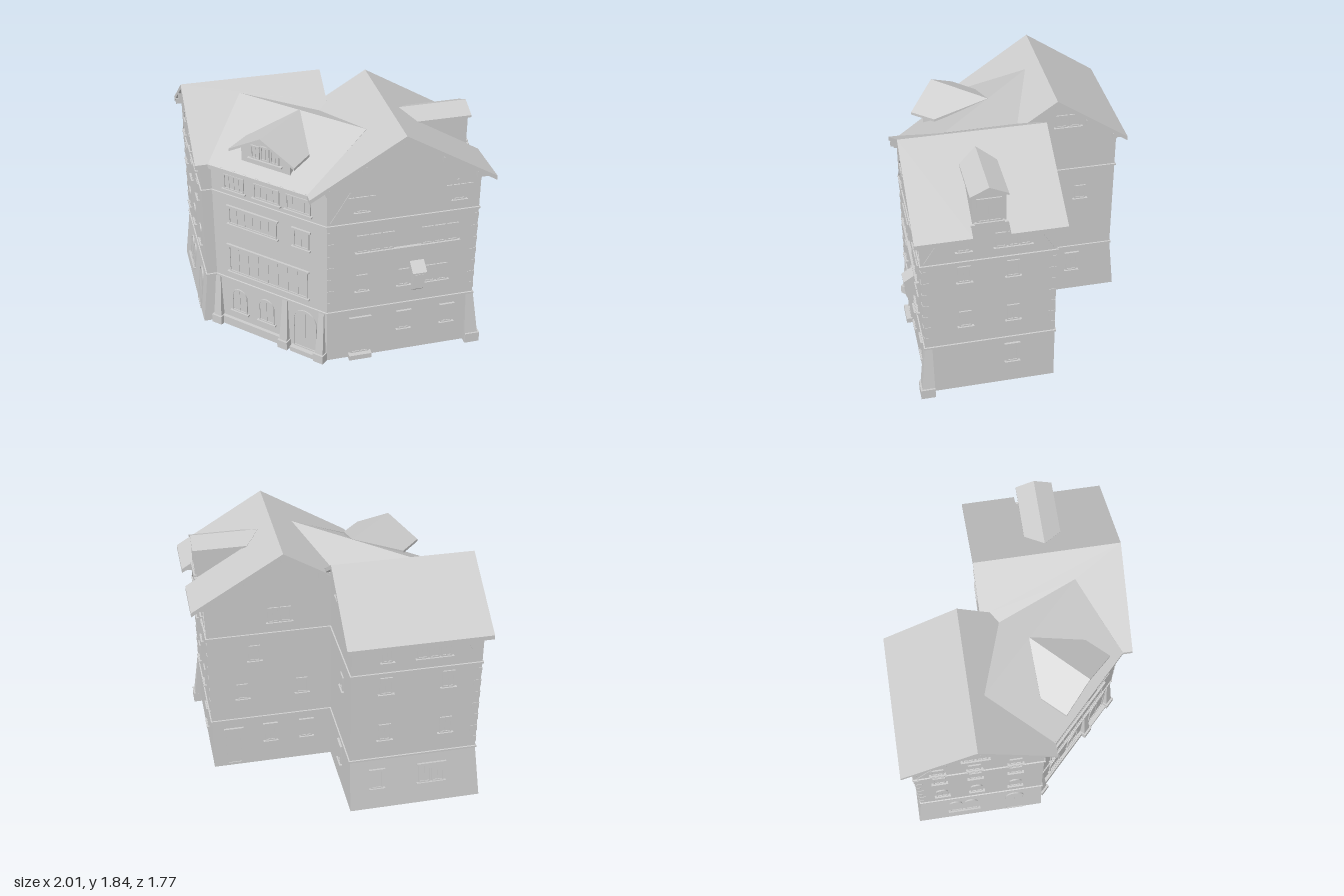
import * as THREE from 'three';

const mat = new THREE.MeshStandardMaterial({ color: 0xcccccc, side: THREE.DoubleSide, flatShading: true });

function add(parent, name, geo, x = 0, y = 0, z = 0) {
  const m = new THREE.Mesh(geo, mat);
  m.name = name;
  m.position.set(x, y, z);
  parent.add(m);
  return m;
}
const box = (p, name, w, h, d, x, y, z) => add(p, name, new THREE.BoxGeometry(w, h, d), x, y, z);
const shapeOf = pts => new THREE.Shape(pts.map(p => new THREE.Vector2(p[0], p[1])));
const extrude = (shape, depth) => new THREE.ExtrudeGeometry(shape, { depth, bevelEnabled: false, curveSegments: 8 });

// Height function of the plane through three points [x, y, z]
function plane(a, b, c) {
  const pl = new THREE.Plane().setFromCoplanarPoints(...[a, b, c].map(p => new THREE.Vector3(...p)));
  return (x, z) => -(pl.normal.x * x + pl.normal.z * z + pl.constant) / pl.normal.y;
}

// Roof slab: plan outline [x, z] draped on a sloping plane
function slab(parent, name, plan, height, t = 0.032) {
  const geo = extrude(shapeOf(plan.map(([x, z]) => [x, -z])), t).rotateX(-Math.PI / 2);
  const p = geo.attributes.position;
  for (let i = 0; i < p.count; i++) p.setY(i, p.getY(i) - t + height(p.getX(i), p.getZ(i)));
  geo.computeVertexNormals();
  add(parent, name, geo);
}

// Footprint moved outwards by d with mitred corners
function offset(P, d) {
  const normal = (a, b) => new THREE.Vector2(a[1] - b[1], b[0] - a[0]).normalize();
  return P.map((p, i) => {
    const n = normal(P[(i + P.length - 1) % P.length], p), m = normal(p, P[(i + 1) % P.length]);
    const k = d / (1 + n.dot(m));
    return [p[0] + (n.x + m.x) * k, p[1] + (n.y + m.y) * k];
  });
}

// Wall skin through a stack of footprint loops [outline, y]
function loft(parent, name, loops) {
  const v = [];
  for (let k = 0; k + 1 < loops.length; k++) {
    const [A, y0] = loops[k], [B, y1] = loops[k + 1];
    A.forEach((a, i) => {
      const j = (i + 1) % A.length, b = A[j], c = B[j], d = B[i];
      v.push(a[0], y0, a[1], b[0], y0, b[1], c[0], y1, c[1], a[0], y0, a[1], c[0], y1, c[1], d[0], y1, d[1]);
    });
  }
  const geo = new THREE.BufferGeometry();
  geo.setAttribute('position', new THREE.Float32BufferAttribute(v, 3));
  geo.computeVertexNormals();
  add(parent, name, geo);
}

// Opening outline, square or round-headed
function opening(w, h, arched) {
  const s = new THREE.Shape();
  s.moveTo(-w / 2, 0);
  s.lineTo(w / 2, 0);
  if (arched) { s.lineTo(w / 2, h - w / 2); s.absarc(0, h - w / 2, w / 2, 0, Math.PI, false); }
  else { s.lineTo(w / 2, h); s.lineTo(-w / 2, h); }
  s.closePath();
  return s;
}

// Framed window between u0..u1 and y0..y1 on a facade
function win(f, u0, u1, y0, y1, { arched = false, sill = true, lintel = false, bars = 1, name = 'window' } = {}) {
  const w = u1 - u0, h = y1 - y0, b = 0.01;
  const g = new THREE.Group();
  g.name = name;
  g.position.set((u0 + u1) / 2, y0, 0);
  f.add(g);
  const frame = opening(w, h, arched);
  const hole = opening(w - 2 * b, h - 2 * b, arched);
  frame.holes.push(new THREE.Path(hole.getPoints(8).map(p => p.add(new THREE.Vector2(0, b)))));
  add(g, 'frame', extrude(frame, 0.012), 0, 0, -0.002);
  add(g, 'pane', new THREE.ShapeGeometry(hole, 8), 0, b, 0.003);
  for (let i = 1; i <= bars; i++) box(g, 'mullion', 0.007, h - b, 0.008, -w / 2 + w * i / (bars + 1), h / 2, 0.003);
  if (sill) box(g, 'sill', w + 0.03, 0.012, 0.025, 0, -0.006, 0.009);
  if (lintel) box(g, 'lintel', w + 0.03, 0.014, 0.02, 0, h + 0.007, 0.007);
}

// Sloped buttress with a plinth block
function buttress(f, u, w = 0.07) {
  const geo = new THREE.BoxGeometry(w, 0.43, 0.07), p = geo.attributes.position;
  for (let i = 0; i < p.count; i++) if (p.getY(i) > 0) { p.setZ(i, Math.min(p.getZ(i), -0.01)); p.setX(i, p.getX(i) * 0.6); }
  add(f, 'buttress', geo, u, 0.215, 0.015);
  box(f, 'buttressFoot', w + 0.015, 0.07, 0.08, u, 0.035, 0.018);
}

export function createModel() {
  const model = new THREE.Group();
  model.name = 'house';

  // Walls, battered ground storey and string courses
  const P = [[-0.955, -0.81], [-0.955, 0.12], [-0.88, 0.12], [-0.2, 0.8], [0.9, 0.8], [0.9, -0.14], [-0.015, -0.14], [-0.015, -0.81]];
  const base = P.map(p => [...p]);
  base[0] = [-1, -0.855]; base[1][0] = -1; base[7][1] = -0.855;
  loft(model, 'walls', [[base, 0], [P, 0.43], [P, 1.46]]);
  for (const y of [0.43, 1.17]) {
    const O = offset(P, 0.009);
    loft(model, 'stringCourse', [[P, y - 0.009], [O, y - 0.007], [O, y + 0.007], [P, y + 0.009]]);
  }

  // Main roofs
  const roofs = new THREE.Group();
  roofs.name = 'roofs';
  model.add(roofs);
  const aFront = (x, z) => 1.8 - 0.68 * (z + 0.345), aBack = (x, z) => 1.8 + 0.68 * (z + 0.345);
  const bWest = x => 1.835 - 0.6 * (0.335 - x), bEast = x => 1.835 - 0.6 * (x - 0.335);
  const R0 = [-0.59, -0.245], R1 = [0.155, 0.5], V = [-0.04, -0.065], E0 = [-0.91, 0.2], E1 = [-0.33, 0.775];
  const r0 = [R0[0], 1.732, R0[1]], r1 = [R1[0], 1.73, R1[1]];
  const dFront = plane(r0, r1, [E0[0], 1.43, E0[1]]), dBack = plane(r0, r1, [V[0], 1.61, V[1]]);
  slab(roofs, 'rearWingRoofFront', [[-1, -0.345], [-1, 0.2], E0, R0, V, [0.03, -0.12], [0.03, -0.345]], aFront);
  slab(roofs, 'rearWingRoofBack', [[-1, -0.345], [0.03, -0.345], [0.03, -0.885], [-1, -0.885]], aBack);
  slab(roofs, 'cornerRoofFront', [E0, E1, R1, R0], dFront);
  slab(roofs, 'cornerRoofBack', [R0, R1, V], dBack);
  slab(roofs, 'frontWingRoofRight', [[0.335, 0.845], [-0.33, 0.845], E1, R1, V, [0.03, -0.12], [0.03, -0.19], [0.335, -0.19]], bWest);
  slab(roofs, 'frontWingRoofLeft', [[0.335, -0.19], [1, -0.19], [1, 0.2], [0.93, 0.2], [0.93, 0.455], [1, 0.455], [1, 0.845], [0.335, 0.845]], bEast);

  // Facades: local x runs along the wall, local z points outwards
  const facade = (name, x, z, turn) => {
    const g = new THREE.Group();
    g.name = name;
    g.position.set(x, 0, z);
    g.rotation.y = turn * Math.PI / 4;
    model.add(g);
    return g;
  };
  const front = facade('frontFacade', 0, 0.8, 0), left = facade('leftFacade', 0.9, 0, 2);
  const right = facade('rightFacade', -0.955, 0, -2), corner = facade('cornerFacade', 0, 1, -1);
  const back = facade('rearWingBack', 0, -0.81, 4), inner = facade('frontWingBack', 0, -0.14, 4);
  const side = facade('rearWingSide', -0.015, 0, 2);

  // Gables with projecting purlin ends
  const gable = (f, u0, u1, um, top, slope) => {
    const e = u => top - 0.03 - slope * Math.abs(u - um);
    add(f, 'gable', extrude(shapeOf([[u0, 1.45], [u1, 1.45], [u1, e(u1)], [um, top - 0.03], [u0, e(u0)]]), 0.01), 0, 0, -0.01);
    for (const s of [-0.95, -0.5, 0, 0.5, 0.95]) {
      const u = um + s * (u1 - um);
      box(f, 'purlinEnd', 0.028, 0.045, 0.05, u, e(u) - 0.02, 0.02);
    }
  };
  gable(front, -0.2, 0.9, 0.335, 1.835, 0.6);
  gable(inner, -0.9, 0.2, -0.335, 1.835, 0.6);
  gable(right, -0.81, 0.12, -0.345, 1.8, 0.68);
  gable(side, -0.12, 0.81, 0.345, 1.8, 0.68);

  // Rafter tails
  const rafters = (f, u0, u1, n, d) => {
    for (let i = 0; i < n; i++) box(f, 'rafterTail', 0.025, 0.03, d, u0 + (u1 - u0) * i / (n - 1), 1.42, d / 2);
  };
  rafters(back, 0.03, 0.94, 10, 0.06);
  rafters(corner, -1.2, -0.4, 9, 0.07);
  rafters(left, -0.77, -0.5, 4, 0.08);
  rafters(left, -0.17, 0.12, 4, 0.08);

  // Front openings
  for (const u of [0, 0.7]) {
    win(front, u, u + 0.09, 1.265, 1.385);
    for (const s of [-0.03, 0.12]) box(front, 'shutter', 0.04, 0.12, 0.01, u + s, 1.325, 0.004);
  }
  for (const u of [0.015, 0.485]) for (let i = 0; i < 3; i++) win(front, u + i * 0.093, u + i * 0.093 + 0.083, 0.93, 1.07, { sill: false });
  box(front, 'longSill', 0.77, 0.014, 0.028, 0.385, 0.923, 0.01);
  for (const u of [0.015, 0.325, 0.52, 0.61]) win(front, u, u + 0.08, 0.595, 0.735);
  for (const u of [0.335, 0.665]) win(front, u, u + 0.085, 0.2, 0.35, { lintel: true });
  win(front, -0.02, 0.115, 0.04, 0.35, { lintel: true, sill: false, name: 'door' });
  box(front, 'doorStep', 0.17, 0.04, 0.05, 0.045, 0.02, 0.02);

  // Small oriel
  const oriel = extrude(shapeOf([[0, 0.53], [0.07, 0.59], [0.07, 0.73], [0, 0.77]]), 0.08).rotateY(-Math.PI / 2);
  add(front, 'oriel', oriel, 0.5, 0, 0);
  const cap = extrude(shapeOf([[0, 0.765], [0.085, 0.722], [0.085, 0.734], [0, 0.79]]), 0.105).rotateY(-Math.PI / 2);
  add(front, 'orielRoof', cap, 0.5125, 0, 0);
  box(front, 'orielPane', 0.06, 0.1, 0.006, 0.46, 0.66, 0.07);

  // Left side, rear wing side, back and right side openings
  for (const [a, b] of [[-0.55, -0.46], [-0.288, -0.215], [-0.2, -0.13], [-0.117, -0.044]]) win(left, a, b, 1.265, 1.385);
  for (const y of [0.6, 1]) for (const u of [-0.55, -0.21]) win(left, u, u + 0.088, y, y + 0.135);
  win(left, -0.215, -0.13, 0.2, 0.36, { lintel: true });
  for (const u of [0.345, 0.445]) win(side, u, u + 0.085, 1.555, 1.655);
  win(side, 0.505, 0.59, 0.9, 1.015);
  win(side, 0.46, 0.545, 0.2, 0.36, { lintel: true });
  for (const u of [-0.45, -0.36]) win(inner, u, u + 0.08, 1.265, 1.385);
  for (const [u, y] of [[-0.6, 0.95], [-0.25, 0.62], [-0.7, 0.62]]) win(inner, u, u + 0.085, y, y + 0.13);
  win(inner, -0.8, -0.68, 0.02, 0.34, { lintel: true, sill: false, name: 'door' });
  for (const u of [-0.5, -0.22]) win(inner, u, u + 0.085, 0.2, 0.35, { lintel: true });
  for (const u of [0.23, 0.48, 0.565, 0.65]) win(back, u, u + 0.075, 1.265, 1.385);
  for (const y of [0.6, 1]) for (const u of [0.22, 0.67]) win(back, u, u + 0.09, y, y + 0.135);
  for (const u of [-0.45, -0.355]) win(right, u, u + 0.08, 1.5, 1.62);
  for (const u of [-0.68, -0.42, -0.13]) {
    win(right, u, u + 0.09, 1, 1.135);
    win(right, u, u + 0.09, 0.6, 0.76, { arched: true });
    win(right, u, u + 0.09, 1.25, 1.36);
  }
  // Ground openings on battered walls stand on tilted panels
  const tilted = (f, d) => {
    const g = new THREE.Group();
    g.name = 'batteredPanel';
    g.position.z = d;
    g.rotation.x = -Math.atan(d / 0.43);
    f.add(g);
    return g;
  };
  const backLow = tilted(back, 0.045), rightLow = tilted(right, 0.045);
  for (const [a, b] of [[0.17, 0.26], [0.53, 0.62], [0.63, 0.72]]) win(backLow, a, b, 0.18, 0.33, { lintel: true });
  for (const u of [-0.6, -0.48]) win(rightLow, u, u + 0.1, 0.16, 0.35, { arched: true });
  win(rightLow, -0.16, -0.02, 0.02, 0.36, { arched: true, sill: false, name: 'door' });

  // Corner facade: window bands, arched windows and door
  const k = Math.SQRT2;
  for (const [a, b, n] of [[-0.8, -0.68, 3], [-0.62, -0.47, 3], [-0.43, -0.29, 3]]) win(corner, a * k, b * k, 1.225, 1.345, { bars: n });
  win(corner, -0.78 * k, -0.49 * k, 0.935, 1.075, { bars: 5, lintel: true });
  win(corner, -0.39 * k, -0.3 * k, 0.935, 1.075, { lintel: true });
  win(corner, -0.79 * k, -0.31 * k, 0.51, 0.735, { bars: 7, lintel: true });
  for (const u of [-0.785, -0.615]) win(corner, u * k, (u + 0.095) * k, 0.15, 0.355, { arched: true });
  win(corner, -0.4 * k, -0.26 * k, 0.04, 0.385, { arched: true, sill: false, name: 'door' });
  box(corner, 'doorStep', 0.22, 0.04, 0.05, -0.33 * k, 0.02, 0.02);
  box(corner, 'plinth', 0.58, 0.07, 0.03, -0.65 * k, 0.035, 0.01);
  for (const u of [-0.87, -0.45, -0.23]) buttress(corner, u * k);

  // Front left corner buttress
  const cb = new THREE.BoxGeometry(0.11, 0.43, 0.1), cp = cb.attributes.position;
  for (let i = 0; i < cp.count; i++) if (cp.getY(i) > 0) { cp.setX(i, Math.min(cp.getX(i), 0)); cp.setZ(i, Math.min(cp.getZ(i), 0.005)); }
  add(model, 'cornerButtress', cb, 0.905, 0.215, 0.8);
  box(model, 'cornerButtressFoot', 0.11, 0.08, 0.105, 0.908, 0.04, 0.802);

  // Quoins and diagonal braces beside the corners
  for (const [f, u, s] of [[front, -0.2, 1], [front, 0.9, -1], [left, -0.8, 1], [left, 0.14, -1], [back, 0.955, -1], [right, -0.81, 1]]) {
    for (let i = 0; i < 7; i++) box(f, 'quoin', 0.03 + 0.02 * (i % 2), 0.05, 0.008, u + s * (0.016 + 0.01 * (i % 2)), 0.5 + i * 0.1, 0);
    box(f, 'brace', 0.016, 0.27, 0.008, u + s * 0.1, 1.31, 0.001).rotation.z = s * -0.55;
  }

  // Left dormer
  for (const [name, s] of [['dormerRoofBack', -1], ['dormerRoofFront', 1]])
    slab(model, name, [[0.435, 0.33], [0.93, 0.33], [0.93, 0.33 + s * 0.13], [0.535, 0.33 + s * 0.13]], (x, z) => 1.777 - 0.46 * Math.abs(z - 0.33), 0.016);
  add(left, 'dormerBody', extrude(shapeOf([[-0.445, 1.41], [-0.215, 1.41], [-0.215, 1.708], [-0.33, 1.76], [-0.445, 1.708]]), 0.38), 0, 0, -0.37);
  win(left, -0.415, -0.245, 1.5, 1.685, { name: 'dormerWindow' });
  left.children[left.children.length - 1].position.z = 0.01;
  box(left, 'dormerSill', 0.255, 0.014, 0.03, -0.33, 1.48, 0.015);

  // Corner dormer
  const T0 = [-0.225, 0.115], T1 = [-0.585, 0.475];
  for (const [name, e0, e1] of [['cornerDormerRoofRight', [-0.77, 0.29], [-0.62, 0.135]], ['cornerDormerRoofLeft', [-0.39, 0.66], [-0.25, 0.51]]])
    slab(model, name, [T1, e0, e1, T0], plane([T0[0], 1.735, T0[1]], [T1[0], 1.735, T1[1]], [e0[0], 1.588, e0[1]]), 0.02);
  const dormer = new THREE.Group();
  dormer.name = 'cornerDormer';
  dormer.position.set(-0.75, 0, -0.02);
  corner.add(dormer);
  add(dormer, 'body', extrude(shapeOf([[-0.235, 1.46], [0.165, 1.46], [0.165, 1.603], [-0.035, 1.712], [-0.235, 1.603]]), 0.33), 0, 0, -0.33);
  for (const u of [-0.15, -0.07, 0.01]) win(dormer, u, u + 0.07, 1.535, 1.635 - (u === -0.07 ? -0.012 : 0), { sill: false });
  box(dormer, 'sill', 0.28, 0.012, 0.025, -0.035, 1.528, 0.01);

  return model;
}
